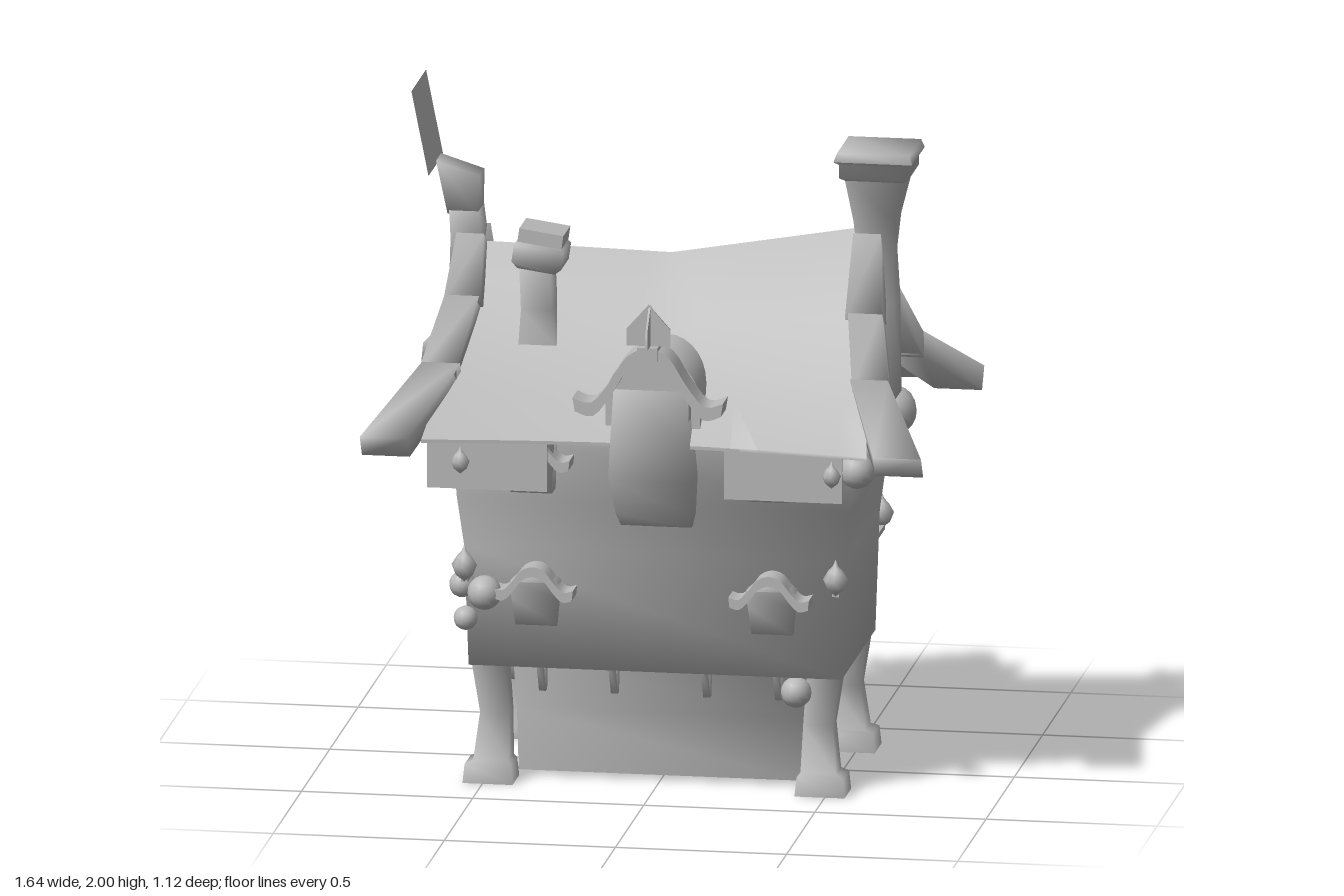
import * as THREE from 'three';
import { toCreasedNormals } from 'three/addons/utils/BufferGeometryUtils.js';

const plaster = new THREE.MeshStandardMaterial({ color: 0xb8b8b8, side: THREE.DoubleSide });
plaster.name = 'plain grey';

const V = (x, y, z) => new THREE.Vector3(x, y, z);

// Outward-facing solid (or open sleeve) through rings of points, each of even count
function loft(rings, crease = 1.65, caps = true) {
  const tris = [];
  const quad = (a, b, c, d) => tris.push([a, b, c], [a, c, d]);
  const m = rings[0].length;
  for (let r = 0; r + 1 < rings.length; r++)
    for (let i = 0; i < m; i++) {
      const j = (i + 1) % m;
      quad(rings[r][i], rings[r][j], rings[r + 1][j], rings[r + 1][i]);
    }
  const first = rings[0], last = rings[rings.length - 1];
  for (let i = 0; caps && i < m / 2 - 1; i++) {
    quad(first[m - 1 - i], first[m - 2 - i], first[i + 1], first[i]);
    quad(last[i], last[i + 1], last[m - 2 - i], last[m - 1 - i]);
  }
  const centre = first[0].clone().add(first[m / 2]).add(last[0]).add(last[m / 2]).multiplyScalar(0.25);
  let volume = 0;
  for (const [a, b, c] of tris)
    volume += a.clone().sub(centre).dot(b.clone().sub(centre).cross(c.clone().sub(centre)));
  const pos = [];
  for (const [a, b, c] of tris)
    for (const p of volume > 0 ? [a, b, c] : [a, c, b]) pos.push(p.x, p.y, p.z);
  const g = new THREE.BufferGeometry();
  g.setAttribute('position', new THREE.Float32BufferAttribute(pos, 3));
  g.computeVertexNormals();
  return toCreasedNormals(g, crease);
}

// Horizontal rectangle ring
const rect = ([y, x, z, hx, hz]) => [
  V(x - hx, y, z - hz), V(x + hx, y, z - hz), V(x + hx, y, z + hz), V(x - hx, y, z + hz)];
const column = (rows, caps = true) => loft(rows.map(rect), 1.65, caps);

// Sloping bar between two points, wide in x
function bar(a, b, wa, wb, t) {
  const n = V(0, b.z - a.z, a.y - b.y).normalize().multiplyScalar(t / 2);
  const ring = (p, w) => [[-1, -1], [1, -1], [1, 1], [-1, 1]].map(
    ([s, k]) => V(p.x + s * w / 2, p.y + k * n.y, p.z + k * n.z));
  return loft([ring(a, wa), ring(b, wb)]);
}

function extrude(shape, depth) {
  const g = new THREE.ExtrudeGeometry(shape, { depth, bevelEnabled: false, curveSegments: 8 });
  return toCreasedNormals(g, 0.9);
}

// Curved hood with flicked-up ends
function hood(w, h, t, depth) {
  const curve = new THREE.SplineCurve([[-1, 0.12], [-0.75, 0.05], [-0.5, 0.42], [-0.28, 0.85], [0, 1],
    [0.28, 0.85], [0.5, 0.42], [0.75, 0.05], [1, 0.12]].map(([x, y]) => new THREE.Vector2(x * w, y * h)));
  const pts = curve.getPoints(24);
  const under = pts.map((p) => new THREE.Vector2(p.x * 0.97, p.y - t)).reverse();
  return extrude(new THREE.Shape([...pts, ...under]), depth);
}

// Upright panel with a rounded top
function arch(w, y0, y1, depth) {
  const s = new THREE.Shape();
  s.moveTo(-w, y0);
  s.lineTo(w, y0);
  s.lineTo(w, y1 - w);
  s.absarc(0, y1 - w, w, 0, Math.PI, false);
  return extrude(s, depth);
}

export function createModel() {
  const house = new THREE.Group();
  house.name = 'crookedHouse';
  const add = (name, geo, x = 0, y = 0, z = 0, parent = house) => {
    const mesh = new THREE.Mesh(geo, plaster);
    mesh.name = name;
    mesh.position.set(x, y, z);
    parent.add(mesh);
    return mesh;
  };

  // Walls, the ground floor open below
  add('groundFloor', column([[0.015, 0, 0, 0.415, 0.2], [0.2, 0, 0, 0.42, 0.2], [0.36, 0, 0, 0.43, 0.21]], false));
  add('upperFloor', column([[0.345, 0, 0, 0.545, 0.298], [0.7, 0, 0, 0.557, 0.303],
    [0.85, 0, 0, 0.575, 0.325], [1.08, 0, 0, 0.585, 0.37], [1.28, 0, 0, 0.575, 0.16], [1.48, 0, 0, 0.56, 0.012]]));

  // Sagging roof with flared eaves
  const half = [[0, 1.52], [0.06, 1.42], [0.13, 1.33], [0.22, 1.24], [0.31, 1.16], [0.445, 1.06]];
  const profile = [...half.slice(1).reverse().map(([z, y]) => [-z, y]), ...half];
  const roofRings = [];
  for (let i = 0; i <= 16; i++) {
    const u = i / 8 - 1;
    const ridge = u > 0 ? 1.52 + 0.1 * u : 1.52 - 0.012 * u;
    const top = profile.map(([z, y]) => V(
      u * (0.57 + 0.08 * Math.abs(z) / 0.44),
      1.06 + (y - 1.06) / 0.46 * (ridge - 1.06),
      z * (1 + 0.12 * u * u)));
    roofRings.push([...top, ...top.map((p) => V(p.x, p.y - 0.01, p.z)).reverse()]);
  }
  add('roof', loft(roofRings, 0.9));

  // Gable boards in three overlapping lengths
  for (const sx of [-1, 1]) for (const sz of [-1, 1]) {
    const peak = sx > 0 ? 1.6 : 1.55;
    add('gableBoard', bar(V(sx * 0.58, peak, sz * 0.03), V(sx * 0.587, 1.37, sz * 0.13), 0.08, 0.11, 0.075));
    add('gableBoard', bar(V(sx * 0.587, 1.39, sz * 0.12), V(sx * 0.635, 1.19, sz * 0.3), 0.1, 0.11, 0.07));
    add('gableBoard', bar(V(sx * 0.625, 1.21, sz * 0.28), V(sx * 0.75, 1.045, sz * 0.54), 0.11, 0.14, 0.075));
  }

  // Large end chimney
  add('largeChimney', column([[1.12, 0.61, 0, 0.05, 0.065], [1.4, 0.605, 0, 0.052, 0.063], [1.55, 0.6, 0, 0.05, 0.05],
    [1.65, 0.6, 0, 0.06, 0.06], [1.79, 0.605, 0, 0.088, 0.088]]));
  add('chimneyCap', column([[1.775, 0.605, 0, 0.085, 0.085], [1.785, 0.605, 0, 0.1, 0.1], [1.825, 0.605, 0, 0.1, 0.1],
    [1.835, 0.605, 0, 0.115, 0.112], [1.86, 0.605, 0, 0.106, 0.103]]));

  // Small leaning chimney
  add('smallChimney', column([[1.28, -0.36, 0.14, 0.055, 0.065], [1.38, -0.365, 0.14, 0.045, 0.05],
    [1.5, -0.37, 0.14, 0.045, 0.05]]));
  const smallCap = new THREE.Group();
  smallCap.name = 'smallChimneyCap';
  smallCap.position.set(-0.358, 1.55, 0.137);
  smallCap.rotation.z = -0.14;
  house.add(smallCap);
  add('capBand', column([[-0.055, 0, 0, 0.055, 0.055], [-0.035, 0, 0, 0.073, 0.07], [0.015, 0, 0, 0.073, 0.07],
    [0.03, 0, 0, 0.055, 0.055]]), 0, 0, 0, smallCap);
  add('capTop', new THREE.BoxGeometry(0.13, 0.04, 0.125), 0, 0.045, 0, smallCap);

  // Flag post and flag
  add('flagPost', column([[1.36, -0.593, 0, 0.05, 0.06], [1.55, -0.593, 0, 0.045, 0.055], [1.63, -0.6, 0, 0.043, 0.05]]));
  add('flagPostTip', loft([
    rect([1.62, -0.603, 0, 0.045, 0.048]),
    [V(-0.682, 1.775, -0.045), V(-0.555, 1.735, -0.045), V(-0.555, 1.735, 0.045), V(-0.682, 1.775, 0.045)]]));
  const flag = add('flag', new THREE.PlaneGeometry(0.26, 0.255), -0.715, 1.875, 0);
  flag.rotation.set(0, Math.PI / 2, 0.197, 'ZYX');

  // Corner legs, hollow below
  for (const sx of [-1, 1]) for (const sz of [-1, 1])
    add('leg', column([[0, 0.485, 0.268, 0.073, 0.06], [0.055, 0.485, 0.268, 0.068, 0.055], [0.065, 0.478, 0.262, 0.052, 0.046],
      [0.2, 0.472, 0.242, 0.043, 0.035], [0.355, 0.49, 0.242, 0.05, 0.038]].map(
      ([y, x, z, hx, hz]) => [y, sx * x, sz * z, hx, hz]), false));

  // Wedge pegs tucked under the upper floor
  for (const sz of [-1, 1]) for (const x of [-0.34, -0.13, 0.14, 0.35])
    add('floorPeg', column([[0.26, x, sz * 0.222, 0.01, 0.012], [0.35, x, sz * 0.238, 0.011, 0.036]]));
  for (const sx of [-1, 1]) for (const z of [-0.1, 0.1])
    add('floorPeg', column([[0.26, sx * 0.44, z, 0.012, 0.01], [0.35, sx * 0.46, z, 0.036, 0.011]]));

  // Fittings repeated on the front and the back
  const lampShape = new THREE.LatheGeometry([[0, -0.055], [0.025, -0.035], [0.037, -0.005], [0.022, 0.02], [0.008, 0.035],
    [0, 0.055]].map(([x, y]) => new THREE.Vector2(x, y)), 8);
  const ball = (x, y, z, r) => add('roundLantern', new THREE.SphereGeometry(r, 14, 10), x, y, z);
  for (const s of [1, -1]) {
    const side = new THREE.Group();
    side.name = s > 0 ? 'frontFittings' : 'backFittings';
    side.rotation.y = s > 0 ? 0 : Math.PI;
    house.add(side);
    const put = (name, geo, x, y, z) => add(name, geo, s * x, y, z, side);

    // Central dormer projecting past the eaves
    put('dormerBody', column([[0.79, 0, 0.3, 0.103, 0.04], [0.83, 0, 0.31, 0.113, 0.06], [0.95, 0, 0.35, 0.122, 0.1],
      [1.06, 0, 0.35, 0.116, 0.105], [1.22, 0, 0.33, 0.107, 0.12]]), 0.01, 0, 0);
    put('dormerArch', arch(0.112, 1.08, 1.31, 0.1), 0.01, 0, 0.345);
    put('dormerRoof', arch(0.138, 1.1, 1.315, 0.25), 0.01, 0, 0.15);
    put('dormerHood', hood(0.22, 0.175, 0.04, 0.09), 0.01, 1.18, 0.4);
    put('hoodKeystone', new THREE.BoxGeometry(0.06, 0.04, 0.1), 0.01, 1.34, 0.45);

    // Windows with hoods, lower and upper
    for (const x of [-0.345, 0.345]) {
      put('lowerWindow', column([[0.475, 0, 0.29, 0.06, 0.025], [0.56, 0, 0.3, 0.068, 0.04], [0.61, 0, 0.3, 0.072, 0.05],
        [0.64, 0, 0.3, 0.035, 0.05]]), x, 0, 0);
      put('lowerHood', hood(0.118, 0.075, 0.03, 0.1), x, 0.588, 0.28);
      put('upperWindow', column([[0.89, 0, 0.35, 0.06, 0.05], [1.05, 0, 0.36, 0.07, 0.06]]), x, 0, 0);
      put('upperHood', hood(0.118, 0.075, 0.03, 0.1), x, 0.99, 0.34);
    }

    // Boards hanging below the eaves
    put('eavePanel', new THREE.BoxGeometry(0.35, 0.15, 0.005), -0.465, 0.983, 0.452);
    put('eavePanel', new THREE.BoxGeometry(0.345, 0.15, 0.005), 0.4, 0.983, 0.452);

    // Pointed lamps on short arms
    for (const x of [-0.54, 0.545]) {
      put('pointedLamp', lampShape, x, 0.675, 0.405);
      put('lampArm', new THREE.BoxGeometry(0.02, 0.015, 0.12), x, 0.625, 0.345);
      if (s > 0 || x < 0) put('eaveLamp', lampShape, x, 1.0, 0.478).scale.setScalar(0.75);
    }

    // Round lanterns
    ball(-0.49, 0.575, s * 0.35, 0.05);
    ball(-0.56, 0.59, s * 0.32, 0.038);
    ball(-0.55, 0.49, s * 0.32, 0.035);
    ball(0.41, 0.3, s * 0.285, 0.045);
  }
  ball(0.565, 0.96, -0.455, 0.075);
  ball(0.61, 1.0, 0.42, 0.052);
  ball(0.6, 1.02, 0.355, 0.048);

  // Pointed finial of crossed plates on the front dormer
  const point = new THREE.Shape([[-0.064, 0], [0.064, 0], [0.064, 0.05], [0, 0.122], [-0.064, 0.05]].map(
    ([x, y]) => new THREE.Vector2(x, y)));
  for (const turn of [0, Math.PI / 2])
    add('finial', extrude(point, 0.006), 0.01, 1.36, 0.47).rotation.y = turn;

  return house;
}
